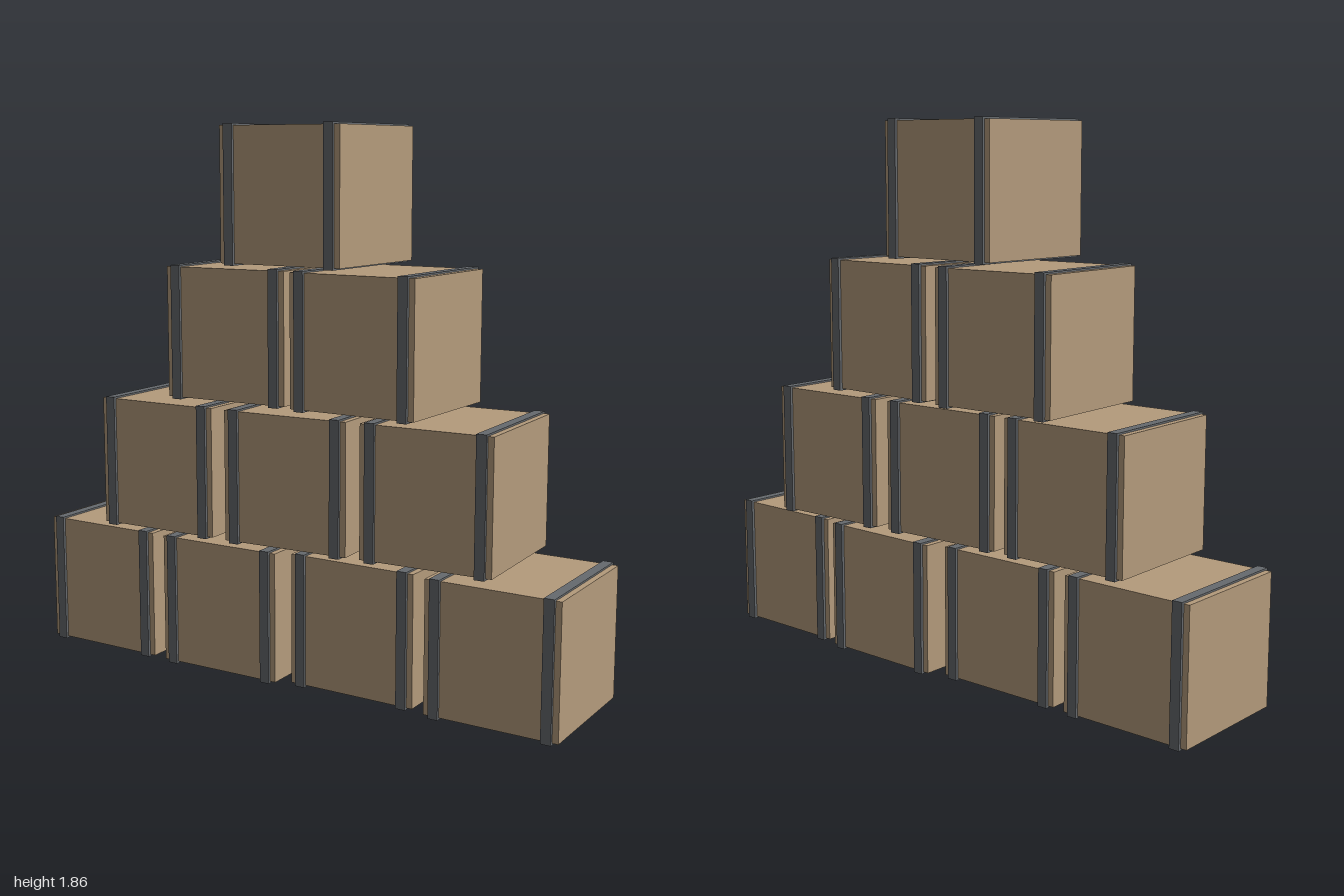
import * as THREE from 'three';

const PITCH_X = 0.51;
const PITCH_Y = 0.467;
const STRAP_HEIGHT = 0.458;

// Bottom row first; each crate is [z offset, small turn about y]
const ROWS = [
  [[0, -0.022], [0.014, -0.01], [-0.008, -0.025], [0.024, -0.02]],
  [[0.012, 0], [0.01, 0.025], [-0.005, 0.02]],
  [[-0.03, 0.022], [-0.004, -0.033]],
  [[0.014, -0.033]],
];

export function createModel() {
  const group = new THREE.Group();
  group.name = 'crateStack';

  const cardboard = new THREE.MeshStandardMaterial({ color: 0xb49b7c });
  const band = new THREE.MeshStandardMaterial({ color: 0x666a6e });
  const boxGeometry = new THREE.BoxGeometry(0.46, 0.446, 0.462);
  const strapGeometry = new THREE.BoxGeometry(0.035, STRAP_HEIGHT, 0.482);

  // One crate: a plain box with two bands wrapped around it
  function makeCrate() {
    const crate = new THREE.Group();
    crate.name = 'crate';
    const body = new THREE.Mesh(boxGeometry, cardboard);
    body.name = 'crateBody';
    crate.add(body);
    for (const side of [-1, 1]) {
      const strap = new THREE.Mesh(strapGeometry, band);
      strap.name = side < 0 ? 'rightStrap' : 'leftStrap';
      strap.position.x = side * 0.192;
      crate.add(strap);
    }
    return crate;
  }

  // Pyramid of rows, each crate slightly out of line
  ROWS.forEach((row, level) => {
    row.forEach(([z, turn], i) => {
      const crate = makeCrate();
      crate.position.set((i - (row.length - 1) / 2) * PITCH_X, STRAP_HEIGHT / 2 + level * PITCH_Y, z);
      crate.rotation.y = turn;
      group.add(crate);
    });
  });

  return group;
}
